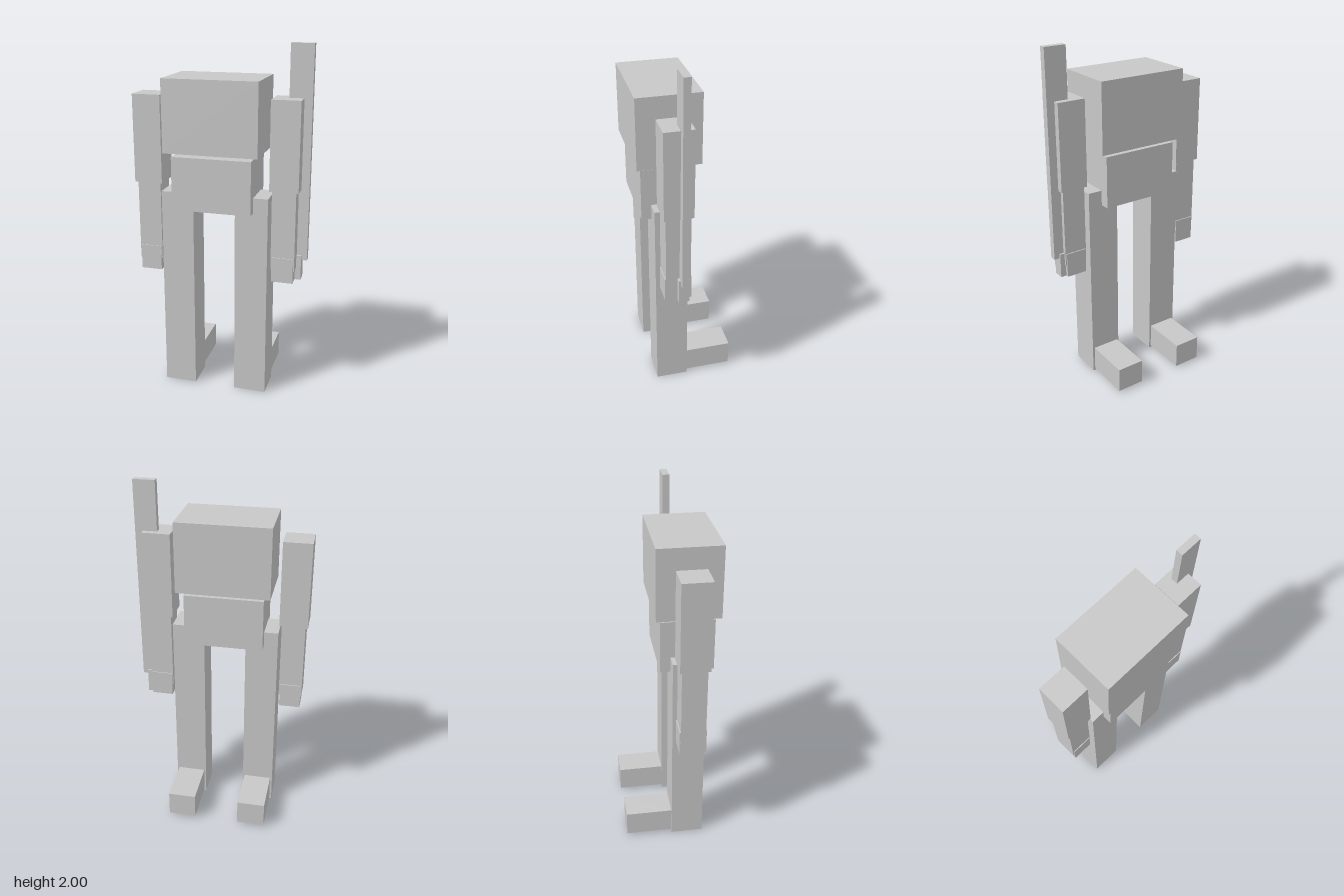
import * as THREE from 'three';

export function createModel() {
  const model = new THREE.Group();
  const grey = new THREE.MeshStandardMaterial({ color: 0xc8c8c8 });
  grey.name = 'lightGrey';

  // Box given by its extents on each axis
  function block(name, [x0, x1], [y0, y1], [z0, z1]) {
    const mesh = new THREE.Mesh(new THREE.BoxGeometry(x1 - x0, y1 - y0, z1 - z0), grey);
    mesh.position.set((x0 + x1) / 2, (y0 + y1) / 2, (z0 + z1) / 2);
    mesh.name = name;
    model.add(mesh);
  }

  // Trunk
  block('chest', [-0.285, 0.241], [1.421, 1.82], [-0.082, 0.268]);
  block('abdomen', [-0.247, 0.2], [1.098, 1.398], [-0.056, 0.242]);

  // Limbs, mirrored about the body's own centre line
  const centre = -0.022;
  for (const [side, s] of [['left', 1], ['right', -1]]) {
    const span = (a, b) => [centre + s * a, centre + s * b].sort((p, q) => p - q);
    block(side + 'Leg', span(0.12, 0.305), [0, 1.185], [0.002, 0.187]);
    block(side + 'Foot', span(0.131, 0.293), [0.014, 0.163], [-0.268, 0.001]);
    block(side + 'UpperArm', span(0.307, 0.467), [1.225, 1.719], [0.013, 0.174]);
    block(side + 'Forearm', span(0.32, 0.453), [0.773, 1.225], [0.025, 0.162]);
    // The hand wraps the lower end of the forearm
    block(side + 'Hand', span(0.326, 0.447), [0.702, 0.845], [0.019, 0.167]);
  }

  // Upright blade and its grip beside the left hand
  block('blade', [0.365, 0.489], [0.818, 2], [0.049, 0.087]);
  block('grip', [0.425, 0.458], [0.702, 0.845], [0.037, 0.098]);

  return model;
}
